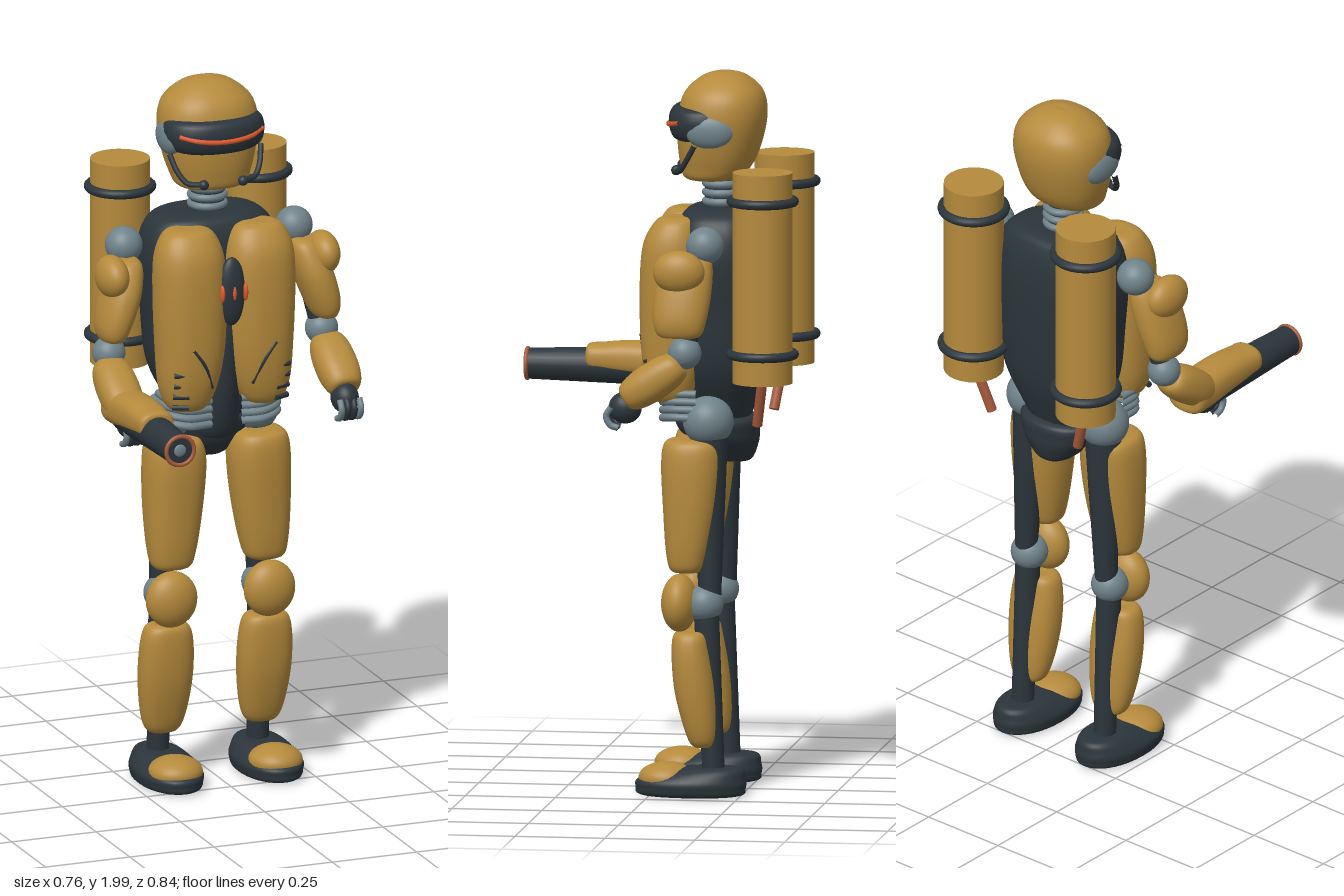
import * as THREE from 'three';

const material = (name, color) => {
  const m = new THREE.MeshStandardMaterial({ color });
  m.name = name;
  return m;
};

export function createModel() {
  const ochre = material('ochre armour', 0xb58a3c);
  const dark = material('dark frame', 0x2b353b);
  const steel = material('steel joints', 0x70838a);
  const orange = material('orange glow', 0xd9572a);
  const copper = material('copper', 0xa85a3a);
  const root = new THREE.Group();
  root.name = 'armouredRobot';
  const V = (p) => new THREE.Vector3(...p);

  const add = (name, geo, mat, pos = [0, 0, 0]) => {
    const mesh = new THREE.Mesh(geo, mat);
    mesh.name = name;
    mesh.position.set(...pos);
    root.add(mesh);
    return mesh;
  };
  const ball = (name, mat, pos, rx, ry = rx, rz = rx) =>
    add(name, new THREE.SphereGeometry(1, 32, 20).scale(rx, ry, rz), mat, pos);
  const rod = (name, mat, a, b, ra, rb = ra) => {
    const d = V(b).sub(V(a));
    const mesh = add(name, new THREE.CylinderGeometry(rb, ra, d.length(), 24), mat);
    mesh.position.copy(V(a)).addScaledVector(d, 0.5);
    mesh.quaternion.setFromUnitVectors(new THREE.Vector3(0, 1, 0), d.normalize());
    return mesh;
  };
  const tube = (name, mat, pts, r) =>
    add(name, new THREE.TubeGeometry(new THREE.CatmullRomCurve3(pts.map(V)), 24, r, 10), mat);

  // Smooth shell through super-elliptic sections [y, centreX, centreZ, radiusX, radiusZ]
  const loft = (name, mat, rows, e = 2, side = 1) => {
    const tip = (r) => [r[0], r[1], r[2], r[3] * 0.02, r[4] * 0.02];
    const all = [tip(rows[0]), ...rows, tip(rows[rows.length - 1])];
    const mid = new THREE.CatmullRomCurve3(all.map((r) => V([r[1] * side, r[0], r[2]])), false, 'catmullrom');
    const rad = new THREE.CatmullRomCurve3(all.map((r) => V([r[3], r[4], 0])), false, 'catmullrom');
    const n = 36, steps = (all.length - 1) * 6, pos = [], idx = [];
    const pw = (c) => Math.sign(c) * Math.abs(c) ** (2 / e);
    for (let j = 0; j <= steps; j++) {
      const c = mid.getPoint(j / steps), r = rad.getPoint(j / steps);
      for (let i = 0; i < n; i++) {
        const a = (i / n) * Math.PI * 2;
        pos.push(c.x + pw(Math.cos(a)) * Math.max(r.x, 0.0005), c.y, c.z + pw(Math.sin(a)) * Math.max(r.y, 0.0005));
        if (j < steps) {
          const p = j * n + i, q = j * n + ((i + 1) % n);
          idx.push(p, p + n, q, q, p + n, q + n);
        }
      }
    }
    const g = new THREE.BufferGeometry();
    g.setAttribute('position', new THREE.Float32BufferAttribute(pos, 3));
    g.setIndex(idx);
    g.computeVertexNormals();
    return add(name, g, mat);
  };

  // Head, visor and neck
  loft('head', ochre, [
    [1.705, 0, -0.15, 0.09, 0.07], [1.745, 0, -0.163, 0.115, 0.1], [1.82, 0, -0.173, 0.134, 0.118],
    [1.89, 0, -0.18, 0.139, 0.121], [1.945, 0, -0.183, 0.122, 0.107], [1.985, 0, -0.185, 0.075, 0.066], [2, 0, -0.185, 0.03, 0.025],
  ], 2.25);
  loft('visor', dark, [
    [1.813, 0, -0.135, 0.105, 0.075], [1.835, 0, -0.135, 0.138, 0.098],
    [1.88, 0, -0.135, 0.143, 0.102], [1.908, 0, -0.135, 0.115, 0.08],
  ], 2.2);
  tube('visorStrip', orange, [[-0.122, 1.87, -0.076], [-0.075, 1.86, -0.044], [0, 1.855, -0.031], [0.075, 1.86, -0.044], [0.122, 1.87, -0.076]], 0.007);
  rod('neck', dark, [0, 1.56, -0.18], [0, 1.75, -0.175], 0.05, 0.045);
  for (let i = 0; i < 4; i++) {
    add('neckRing', new THREE.TorusGeometry(0.046, 0.011, 10, 32).rotateX(Math.PI / 2), steel, [0, 1.615 + i * 0.025, -0.178]);
  }

  // Torso core and pelvis
  loft('torsoCore', dark, [
    [1.02, 0, -0.17, 0.07, 0.07], [1.1, 0, -0.175, 0.125, 0.1], [1.2, 0, -0.18, 0.17, 0.12], [1.35, 0, -0.18, 0.185, 0.13],
    [1.5, 0, -0.18, 0.195, 0.13], [1.59, 0, -0.18, 0.175, 0.115], [1.625, 0, -0.18, 0.12, 0.085],
  ], 2.7);
  loft('belly', dark, [[1.0, 0, -0.13, 0.06, 0.07], [1.15, 0, -0.1, 0.055, 0.08], [1.35, 0, -0.1, 0.05, 0.08]]);
  loft('pelvis', dark, [
    [0.922, 0, -0.2, 0.045, 0.055], [0.96, 0, -0.19, 0.085, 0.085], [1.0, 0, -0.185, 0.11, 0.095], [1.045, 0, -0.18, 0.11, 0.09],
  ], 2.3);

  // Chest emitter with three lights
  ball('chestEmitter', dark, [0, 1.435, 0.002], 0.04, 0.098, 0.026);
  for (const x of [-0.034, 0, 0.034]) ball('chestLight', orange, [x, 1.435, 0.02], 0.007, 0.025, 0.012);

  for (const s of [1, -1]) {
    const P = (x, y, z) => [x * s, y, z];

    // Ear pod and jaw guard
    ball('earPod', steel, P(0.122, 1.848, -0.16), 0.028, 0.048, 0.068);
    tube('jawGuard', dark, [P(0.135, 1.81, -0.12), P(0.122, 1.765, -0.095), P(0.1, 1.735, -0.075), P(0.06, 1.73, -0.06)], 0.008);
    ball('jawTip', dark, P(0.058, 1.73, -0.058), 0.014);

    // Chest plate, vents and groove
    loft('chestPlate', ochre, [
      [1.1, 0.112, -0.055, 0.05, 0.05], [1.16, 0.108, -0.055, 0.08, 0.075], [1.27, 0.101, -0.055, 0.096, 0.088],
      [1.42, 0.102, -0.055, 0.101, 0.09], [1.53, 0.103, -0.058, 0.097, 0.084], [1.59, 0.103, -0.065, 0.075, 0.062], [1.608, 0.103, -0.07, 0.045, 0.04],
    ], 2.3, s);
    for (let i = 0; i < 4; i++) {
      rod('chestVent', dark, P(0.128, 1.115 + i * 0.032, 0.006 + i * 0.004), P(0.17, 1.115 + i * 0.032, -0.012 + i * 0.006), 0.008);
    }
    tube('chestGroove', dark, [P(0.122, 1.285, 0.03), P(0.088, 1.235, 0.028), P(0.06, 1.165, 0.008)], 0.005);

    // Waist ribs
    for (let i = 0; i < 4; i++) {
      const y = 1.045 + i * 0.022;
      tube('waistRib', steel, [P(0.045, y, -0.04), P(0.11, y + 0.004, -0.028), P(0.16, y + 0.012, -0.06), P(0.165, y + 0.012, -0.13)], 0.011);
    }

    // Back tank with bands and feed pipe
    rod('tank', ochre, P(0.202, 1.165, -0.32), P(0.202, 1.75, -0.32), 0.083);
    for (const y of [1.245, 1.67]) {
      add('tankBand', new THREE.TorusGeometry(0.087, 0.013, 12, 40).rotateX(Math.PI / 2), dark, P(0.202, y, -0.32));
    }
    rod('feedPipe', copper, P(0.2, 1.18, -0.32), P(0.155, 1.04, -0.298), 0.014);

    // Shoulder, upper arm and elbow
    ball('shoulderJoint', steel, P(0.252, 1.55, -0.167), 0.052);
    rod('armCore', dark, P(0.255, 1.54, -0.16), P(0.315, 1.26, -0.12), 0.03);
    loft('upperArm', ochre, [
      [1.305, 0.315, -0.105, 0.03, 0.055], [1.35, 0.308, -0.105, 0.048, 0.074],
      [1.43, 0.285, -0.112, 0.054, 0.078], [1.5, 0.265, -0.125, 0.045, 0.064], [1.525, 0.26, -0.13, 0.025, 0.04],
    ], 2.2, s);
    ball('shoulderPlate', ochre, P(0.312, 1.483, -0.103), 0.044, 0.06, 0.072);
    ball('elbowJoint', steel, P(0.315, 1.26, -0.12), 0.046);

    // Forearm and hand
    const arm = loft('forearm', ochre, [
      [-0.095, 0, 0, 0.04, 0.032], [-0.05, 0, 0, 0.056, 0.05], [0.03, 0, 0, 0.058, 0.052], [0.085, 0, 0, 0.042, 0.036],
    ], 2.3);
    arm.position.set(0.322 * s, 1.178, -0.03);
    arm.quaternion.setFromUnitVectors(V([0, 1, 0]), V([0, -0.55, 0.83]).normalize());
    ball('palm', dark, P(0.318, 1.105, 0.045), 0.038, 0.044, 0.046);
    for (let i = 0; i < 4; i++) {
      const x = 0.29 + i * 0.019;
      tube('finger', i % 3 ? dark : steel, [P(x, 1.11, 0.08), P(x, 1.085, 0.094), P(x, 1.06, 0.082), P(x, 1.052, 0.06)], 0.009);
    }

    // Hip, thigh and knee
    ball('hipJoint', steel, P(0.13, 1.045, -0.158), 0.07);
    rod('thighCore', dark, P(0.13, 1.0, -0.16), P(0.145, 0.54, -0.165), 0.052, 0.03);
    loft('thigh', ochre, [
      [0.63, 0.138, -0.1, 0.05, 0.042], [0.68, 0.136, -0.103, 0.068, 0.06], [0.8, 0.13, -0.11, 0.082, 0.076],
      [0.92, 0.125, -0.113, 0.087, 0.085], [0.98, 0.125, -0.115, 0.077, 0.08], [0.995, 0.125, -0.115, 0.05, 0.055],
    ], 2.4, s);
    ball('kneeCap', ochre, P(0.145, 0.54, -0.08), 0.074, 0.08, 0.05);
    ball('kneeJoint', steel, P(0.145, 0.54, -0.15), 0.052);

    // Shin, calf core and ankle
    loft('shin', ochre, [
      [0.145, 0.146, -0.148, 0.04, 0.03], [0.19, 0.146, -0.142, 0.062, 0.046], [0.3, 0.146, -0.126, 0.076, 0.058],
      [0.41, 0.146, -0.114, 0.074, 0.054], [0.46, 0.146, -0.112, 0.055, 0.042],
    ], 2.4, s);
    rod('calfCore', dark, P(0.148, 0.08, -0.175), P(0.146, 0.52, -0.155), 0.031, 0.035);

    // Foot with toe cap
    loft('foot', dark, [
      [0.008, 0.148, -0.112, 0.075, 0.135], [0.03, 0.148, -0.112, 0.09, 0.153],
      [0.055, 0.148, -0.118, 0.087, 0.146], [0.085, 0.148, -0.165, 0.055, 0.085],
    ], 2.1, s);
    ball('toeCap', ochre, P(0.148, 0.055, -0.045), 0.076, 0.044, 0.078);
  }

  // Arm cannon on the right forearm, sections run along z
  const cannon = loft('cannonCover', ochre, [
    [-0.035, 0, 0, 0.056, 0.042], [0.02, 0, -0.005, 0.06, 0.052], [0.12, 0, -0.014, 0.057, 0.05],
    [0.2, 0, -0.016, 0.053, 0.042], [0.242, 0, -0.018, 0.046, 0.034],
  ], 2.5);
  cannon.rotation.x = Math.PI / 2;
  cannon.position.set(-0.315, 1.135, 0);
  rod('cannonBarrel', dark, [-0.315, 1.13, 0.03], [-0.315, 1.13, 0.41], 0.055, 0.043);
  add('muzzleRing', new THREE.TorusGeometry(0.041, 0.006, 10, 36), copper, [-0.315, 1.13, 0.411]);
  ball('muzzleCore', steel, [-0.315, 1.13, 0.409], 0.018, 0.018, 0.006);

  return root;
}
